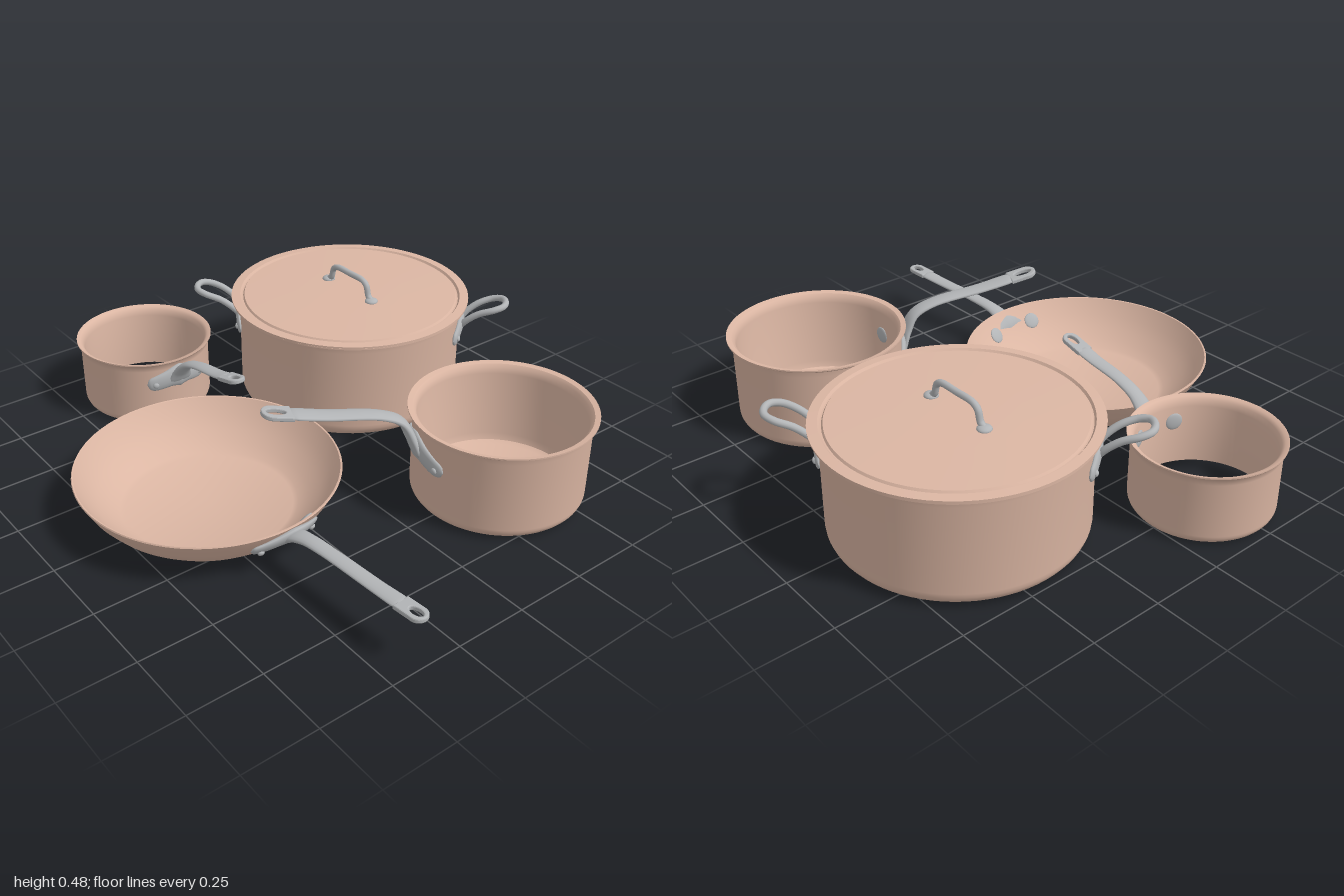
import * as THREE from 'three';
import { toCreasedNormals } from 'three/addons/utils/BufferGeometryUtils.js';

const copper = new THREE.MeshStandardMaterial({ color: 0xdbb6a3 });
copper.name = 'copper';
const steel = new THREE.MeshStandardMaterial({ color: 0xb2b4b6 });
steel.name = 'steel';

const V = (x, y, z = 0) => new THREE.Vector3(x, y, z);

function add(parent, name, geometry, material) {
  const mesh = new THREE.Mesh(geometry, material);
  mesh.name = name;
  parent.add(mesh);
  return mesh;
}

function lathe(profile) {
  const points = profile.map(([r, y]) => new THREE.Vector2(r, y));
  return toCreasedNormals(new THREE.LatheGeometry(points, 80), 0.6);
}

// Oval bar along a curve; sizes are [half width, half thickness] pairs, ends are rounded
function loft(points, sizes, wideAt, roundness = 10, steps = 36, sides = 14) {
  const curve = new THREE.CatmullRomCurve3(points);
  const pos = [], index = [];
  for (let i = 0; i <= steps; i++) {
    const u = i / steps;
    const p = curve.getPoint(u), t = curve.getTangent(u);
    const w = wideAt(p).addScaledVector(t, -wideAt(p).dot(t)).normalize();
    const n = t.clone().cross(w);
    const f = u * (sizes.length - 1), k = Math.min(Math.floor(f), sizes.length - 2);
    const end = Math.sqrt(Math.max(0, 1 - Math.abs(2 * u - 1) ** roundness)) + 0.01;
    const [hw, ht] = [0, 1].map((c) => THREE.MathUtils.lerp(sizes[k][c], sizes[k + 1][c], f - k) * end);
    for (let j = 0; j < sides; j++) {
      const a = (j / sides) * Math.PI * 2;
      const q = p.clone().addScaledVector(w, hw * Math.cos(a)).addScaledVector(n, ht * Math.sin(a));
      pos.push(q.x, q.y, q.z);
      if (i < steps) {
        const A = i * sides + j, B = i * sides + (j + 1) % sides;
        index.push(A, B, A + sides, B, B + sides, A + sides);
      }
    }
  }
  const g = new THREE.BufferGeometry();
  g.setAttribute('position', new THREE.Float32BufferAttribute(pos, 3));
  g.setIndex(index);
  g.computeVertexNormals();
  return g;
}

// Straight-walled pot with flared rim; an open base leaves only the rounded corner
function potGeometry(R, rim, H, corner, openBase) {
  const profile = openBase ? [] : [[0, 0]];
  for (let i = 0; i <= 6; i++) {
    const a = (i / 6) * Math.PI / 2;
    profile.push([R - corner + corner * Math.sin(a), corner - corner * Math.cos(a)]);
  }
  profile.push([R, H - 0.035], [R + 0.004, H - 0.015], [rim, H - 0.005], [rim, H],
    [R, H - 0.004], [R - 0.009, H - 0.014], [R - 0.014, H - 0.035]);
  if (openBase) profile.push([R - 0.015, 0.012]);
  else profile.push([R - 0.015, 0.045], [R - 0.023, 0.022], [R - 0.04, 0.013], [0, 0.013]);
  return lathe(profile);
}

// Group whose local +x points outward from the vessel in direction (dx, dz)
function outward(parent, name, dx, dz) {
  const g = new THREE.Group();
  g.name = name;
  g.rotation.y = Math.atan2(-dz, dx);
  parent.add(g);
  return g;
}

// Two-lobed mounting plate hugging the wall, with rivets outside and inside
function mount(parent, R, y, half, rise, slope = 0) {
  const spine = [];
  for (let k = -4; k <= 4; k++) {
    const a = (k / 4) * half / R, dy = rise * Math.cos((k / 4) * Math.PI / 2) ** 2;
    const r = R + 0.004 + slope * dy;
    spine.push(V(r * Math.cos(a), y + dy, r * Math.sin(a)));
  }
  const sizes = [[0.028, 0.01], [0.03, 0.011], [0.034, 0.014], [0.045, 0.018],
    [0.034, 0.014], [0.03, 0.011], [0.028, 0.01]];
  add(parent, 'mountingPlate', loft(spine, sizes, (p) => V(p.x * slope / R, 1, p.z * slope / R)), steel);
  for (const side of [-1, 1]) {
    const a = side * (half - 0.03) / R;
    for (const [name, dr, dy, size] of [['innerRivet', -0.015, slope * 0.012, 0.03],
      ['outerRivet', 0.014, -slope * 0.01, 0.011]]) {
      const rivet = add(parent, name, new THREE.SphereGeometry(1, 20, 12), steel);
      rivet.scale.set(0.007, size, size);
      rivet.position.set((R + dr) * Math.cos(a), y + dy, (R + dr) * Math.sin(a));
      rivet.rotation.set(0, -a, -Math.atan(slope), 'YXZ');
    }
  }
}

// Long handle: curved stem ending in a flat eyelet with a hanging slot
function longHandle(parent, path, width) {
  const pts = path.map(([r, y]) => V(r, y));
  const tip = pts[pts.length - 1], prev = pts[pts.length - 2];
  const dir = tip.clone().sub(prev).normalize();
  const L = 0.1;
  pts[pts.length - 1] = tip.clone().addScaledVector(dir, -L + 0.02);
  add(parent, 'handleStem', loft(pts, [[width * 1.7, 0.012], [width * 1.15, 0.016], [width * 0.9, 0.013],
    [width * 0.85, 0.01], [width * 0.9, 0.009], [width, 0.009]], () => V(0, 0, 1), 30), steel);

  const eye = new THREE.Shape();
  eye.moveTo(-L, -width);
  eye.lineTo(-width, -width);
  eye.absarc(-width, 0, width, -Math.PI / 2, Math.PI / 2, false);
  eye.lineTo(-L, width);
  eye.closePath();
  const slot = new THREE.Path();
  slot.absellipse(-width * 1.25, 0, width * 0.85, width * 0.45, 0, Math.PI * 2, true);
  eye.holes.push(slot);
  const g = new THREE.ExtrudeGeometry(eye, { depth: 0.008, bevelThickness: 0.004, bevelSize: 0.004,
    bevelOffset: -0.004, bevelSegments: 2, curveSegments: 16 });
  g.translate(0, 0, -0.004);
  g.rotateX(-Math.PI / 2);
  const mesh = add(parent, 'handleEyelet', g, steel);
  mesh.position.copy(tip);
  mesh.rotation.z = Math.atan2(dir.y, dir.x);
}

function vessel(root, name, x, z) {
  const g = new THREE.Group();
  g.name = name;
  g.position.set(x, 0, z);
  root.add(g);
  return g;
}

export function createModel() {
  const root = new THREE.Group();
  root.name = 'cookwareSet';

  // Large stockpot with lid
  const stock = vessel(root, 'stockpot', -0.342, -0.438);
  add(stock, 'stockpotBody', potGeometry(0.41, 0.437, 0.383, 0.055, true), copper);
  add(stock, 'lid', lathe([[0, 0.376], [0.39, 0.376], [0.4, 0.383], [0.44, 0.385], [0.44, 0.391],
    [0.408, 0.393], [0.402, 0.385], [0.397, 0.385], [0.392, 0.392], [0.2, 0.397], [0, 0.399]]), copper);
  const lidPath = [[-0.125, 0.4], [-0.108, 0.413], [-0.095, 0.45], [-0.075, 0.463], [0, 0.465],
    [0.075, 0.463], [0.095, 0.45], [0.108, 0.413], [0.125, 0.4]].map(([x, y]) => V(x, y));
  add(stock, 'lidHandle', new THREE.TubeGeometry(new THREE.CatmullRomCurve3(lidPath), 48, 0.011, 12), steel);
  for (const side of [-1, 1]) {
    const foot = add(stock, 'lidHandleFoot', new THREE.SphereGeometry(1, 20, 12), steel);
    foot.scale.set(0.024, 0.012, 0.024);
    foot.position.set(side * 0.125, 0.399, 0);

    // Loop handles on opposite sides
    const ear = outward(stock, 'loopHandle', side, -side);
    mount(ear, 0.41, 0.27, 0.125, 0.025);
    const half = [[0.412, 0.285, 0.032], [0.435, 0.315, 0.04], [0.48, 0.35, 0.048], [0.535, 0.371, 0.052],
      [0.568, 0.379, 0.035]];
    const loop = [...half.map(([r, y, w]) => V(r, y, -w)), V(0.578, 0.381, 0),
      ...half.reverse().map(([r, y, w]) => V(r, y, w))];
    add(ear, 'loop', new THREE.TubeGeometry(new THREE.CatmullRomCurve3(loop), 60, 0.012, 12), steel);
  }

  // Small saucepan
  const small = vessel(root, 'smallSaucepan', -0.75, 0.217);
  add(small, 'smallSaucepanBody', potGeometry(0.235, 0.248, 0.255, 0.035, true), copper);
  const smallHandle = outward(small, 'smallSaucepanHandle', 1, 0);
  mount(smallHandle, 0.235, 0.168, 0.12, 0.02);
  longHandle(smallHandle, [[0.238, 0.165], [0.262, 0.215], [0.305, 0.255], [0.375, 0.283],
    [0.5, 0.306], [0.64, 0.342]], 0.03);

  // Medium saucepan
  const medium = vessel(root, 'mediumSaucepan', 0.515, -0.382);
  add(medium, 'mediumSaucepanBody', potGeometry(0.292, 0.31, 0.322, 0.04, false), copper);
  const mediumHandle = outward(medium, 'mediumSaucepanHandle', -0.375, 0.927);
  mount(mediumHandle, 0.292, 0.2, 0.15, 0.03);
  longHandle(mediumHandle, [[0.296, 0.2], [0.32, 0.27], [0.352, 0.325], [0.42, 0.358],
    [0.6, 0.388], [0.805, 0.43]], 0.038);

  // Frying pan
  const pan = vessel(root, 'fryingPan', 0.011, 0.438);
  add(pan, 'fryingPanBody', lathe([[0, 0], [0.265, 0], [0.29, 0.008], [0.33, 0.032], [0.371, 0.066],
    [0.406, 0.108], [0.436, 0.162], [0.434, 0.166], [0.429, 0.165], [0.396, 0.112], [0.361, 0.074],
    [0.325, 0.042], [0.292, 0.02], [0.275, 0.013], [0, 0.012]]), copper);
  const panHandle = outward(pan, 'fryingPanHandle', 1, -0.052);
  mount(panHandle, 0.4, 0.102, 0.128, 0.02, 0.72);
  longHandle(panHandle, [[0.4, 0.098], [0.44, 0.132], [0.5, 0.152], [0.6, 0.16],
    [0.8, 0.163], [0.988, 0.17]], 0.03);

  return root;
}
